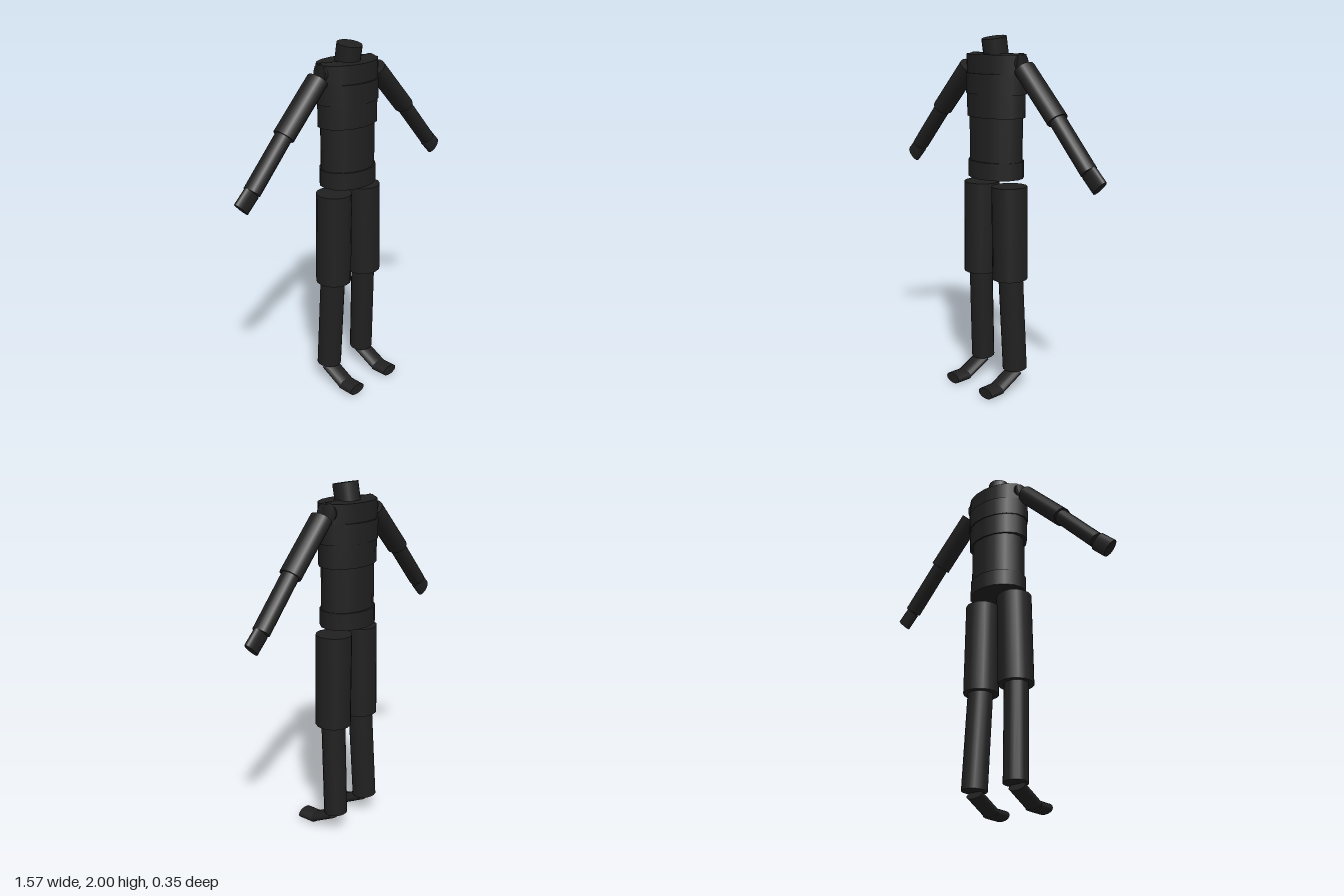
import * as THREE from 'three';

const charcoal = new THREE.MeshStandardMaterial({ color: 0x202020 });
charcoal.name = 'charcoal';
const UP = new THREE.Vector3(0, 1, 0);

// Capped elliptical cylinder from a to b, with half width w and half depth d
function segment(name, a, b, w, d) {
  const from = new THREE.Vector3(...a), to = new THREE.Vector3(...b);
  const axis = to.clone().sub(from);
  const geometry = new THREE.CylinderGeometry(1, 1, axis.length(), 16);
  geometry.scale(w, 1, d);
  const mesh = new THREE.Mesh(geometry, charcoal);
  mesh.name = name;
  mesh.position.copy(from).add(to).multiplyScalar(0.5);
  mesh.quaternion.setFromUnitVectors(UP, axis.normalize());
  return mesh;
}

export function createModel() {
  const model = new THREE.Group();
  model.name = 'segmentedFigure';

  // Stacked torso: name, bottom, top, half width, half depth
  const torso = new THREE.Group();
  torso.name = 'torso';
  const bands = [
    ['pelvis', 1.23, 1.325, 0.173, 0.137],
    ['waist', 1.325, 1.565, 0.168, 0.126],
    ['lowerChest', 1.565, 1.69, 0.188, 0.133],
    ['chest', 1.69, 1.80, 0.196, 0.138],
    ['upperChest', 1.80, 1.90, 0.198, 0.126],
  ];
  for (const [name, y0, y1, w, d] of bands) {
    torso.add(segment(name, [0, y0, -0.037], [0, y1, -0.037], w, d));
  }
  torso.add(segment('neck', [0, 1.89, -0.037], [0, 1.988, -0.02], 0.067, 0.07));
  model.add(torso);

  // Mirrored shoulders, arms and legs
  for (const [side, s] of [['left', 1], ['right', -1]]) {
    const arm = new THREE.Group();
    arm.name = side + 'Arm';
    arm.add(
      segment('shoulder', [s * 0.03, 1.85, -0.02], [s * 0.19, 1.857, -0.05], 0.052, 0.055),
      segment('upperArm', [s * 0.215, 1.83, -0.037], [s * 0.457, 1.58, -0.037], 0.052, 0.063),
      segment('forearm', [s * 0.455, 1.582, -0.037], [s * 0.675, 1.342, -0.037], 0.043, 0.049),
      segment('hand', [s * 0.675, 1.34, -0.037], [s * 0.748, 1.27, -0.037], 0.051, 0.026),
    );

    const leg = new THREE.Group();
    leg.name = side + 'Leg';
    leg.add(
      segment('thigh', [s * 0.112, 1.19, -0.032], [s * 0.121, 0.663, -0.032], 0.098, 0.1),
      segment('shin', [s * 0.124, 0.67, -0.035], [s * 0.136, 0.12, -0.06], 0.067, 0.07),
      segment('foot', [s * 0.139, 0.105, -0.055], [s * 0.14, 0.033, 0.085], 0.053, 0.027),
      segment('toes', [s * 0.14, 0.032, 0.08], [s * 0.141, 0.032, 0.176], 0.054, 0.03),
    );
    model.add(arm, leg);
  }
  return model;
}
